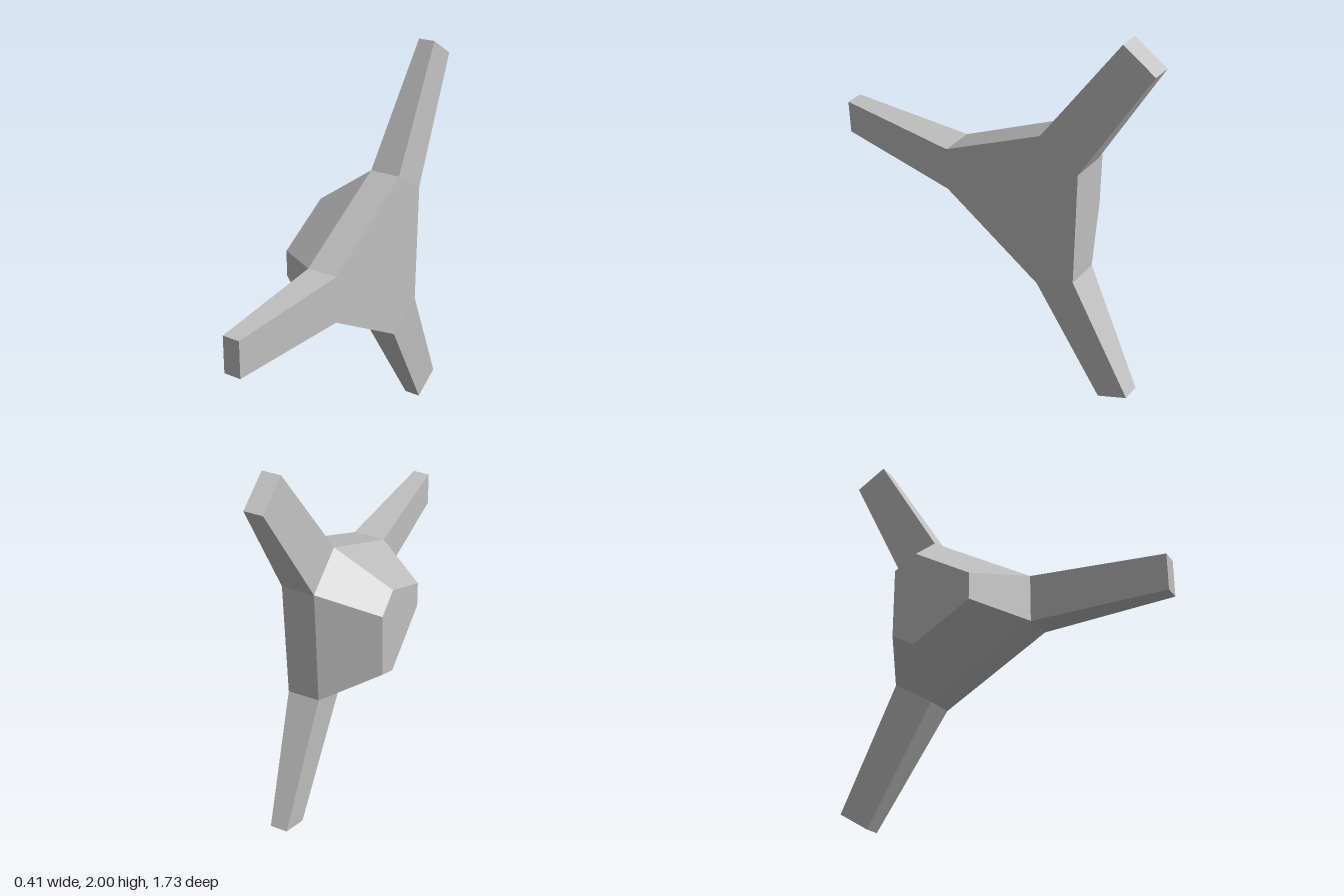
import * as THREE from 'three';

const CENTRE_Y = 1, CENTRE_Z = -0.233;

// point at distance d along a spoke direction, shifted sideways by s
function spokePoint(angle, x, d, s) {
  const c = Math.cos(angle), n = Math.sin(angle);
  return [x, CENTRE_Y + d * n + s * c, CENTRE_Z + d * c - s * n];
}

// skin a row of rings (counter-clockwise about the travel direction) and cap both ends
function loft(rings) {
  const pos = [];
  const tri = (a, b, c) => pos.push(...a, ...b, ...c);
  const cap = (r) => {
    for (let i = 1; i < r.length - 1; i++) tri(r[0], r[i], r[i + 1]);
  };
  for (let k = 0; k < rings.length - 1; k++) {
    const a = rings[k], b = rings[k + 1];
    a.forEach((p, i) => {
      const j = (i + 1) % a.length;
      tri(p, a[j], b[j]);
      tri(p, b[j], b[i]);
    });
  }
  cap([...rings[0]].reverse());
  cap(rings[rings.length - 1]);
  const g = new THREE.BufferGeometry();
  g.setAttribute('position', new THREE.Float32BufferAttribute(pos, 3));
  g.computeVertexNormals();
  return g;
}

export function createModel() {
  const model = new THREE.Group();
  model.name = 'threeArmedHub';
  const grey = new THREE.MeshStandardMaterial({ color: 0xc0c0c0, flatShading: true });
  grey.name = 'light grey';
  const angles = [0, 1, 2].map((k) => (k * Math.PI * 2) / 3);

  // hub: a six-sided plate with a tapered boss towards -x
  const hexRing = (x, d, s) =>
    angles.flatMap((a) => [spokePoint(a, x, d, -s), spokePoint(a, x, d, s)]);
  const hub = new THREE.Mesh(
    loft([hexRing(0.205, 0.427, 0.118), hexRing(0.05, 0.427, 0.118), hexRing(-0.21, 0.236, 0.067)]),
    grey
  );
  hub.name = 'hub';
  model.add(hub);

  // three tapered arms growing from the short hub sides
  const armRing = (a, d, x0, x1, s) => [
    spokePoint(a, x0, d, -s), spokePoint(a, x1, d, -s),
    spokePoint(a, x1, d, s), spokePoint(a, x0, d, s),
  ];
  const names = ['frontArm', 'upperArm', 'lowerArm'];
  angles.forEach((a, i) => {
    const arm = new THREE.Mesh(
      loft([armRing(a, 0.427, 0.05, 0.205, 0.118), armRing(a, 1.102, 0.085, 0.17, 0.091)]),
      grey
    );
    arm.name = names[i];
    model.add(arm);
  });
  return model;
}
